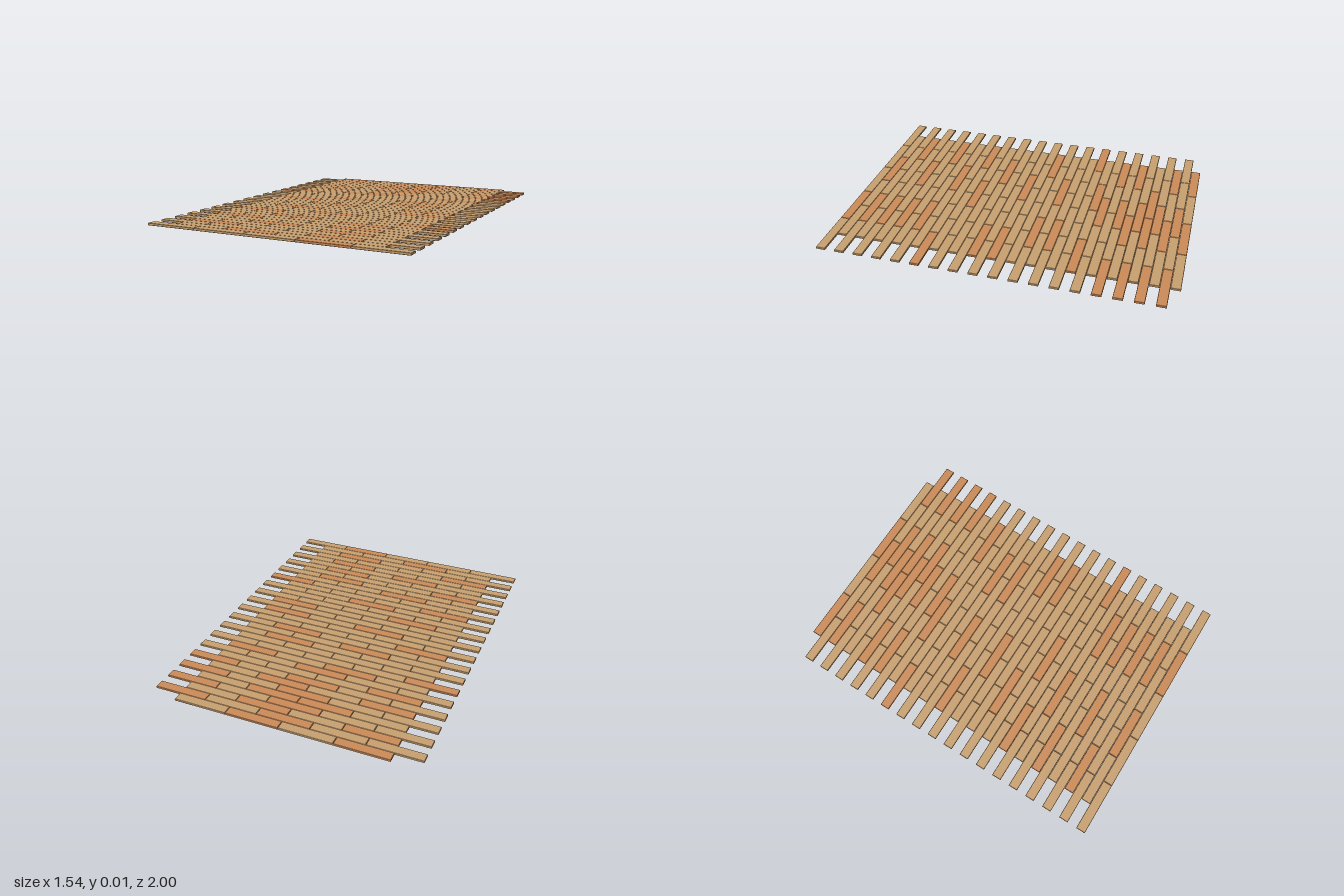
import * as THREE from 'three';

const ROWS = 36;
const PITCH_X = 0.3085; // plank spacing along a row
const PITCH_Z = 2 / ROWS; // spacing between rows
const HEIGHT = 0.013;
const BEVEL = 0.0015;

// Which planks of each row, from back to front, have the warm tone
const WARM = [
  '02', '24', '02', '24', '12', '24', '02', '24', '0', '2', '13', '0',
  '', '3', '1', '3', '0', '', '13', '', '3', '1', '', '2',
  '0', '4', '1', '3', '0', '3', '1', '3', '0', '3', '1', '3',
];

// One plank lying flat, with finely chamfered edges
function plankGeometry() {
  const x = PITCH_X / 2 - 0.001 - BEVEL;
  const z = PITCH_Z / 2 - 0.0006 - BEVEL;
  const shape = new THREE.Shape();
  shape.moveTo(-x, -z);
  shape.lineTo(x, -z);
  shape.lineTo(x, z);
  shape.lineTo(-x, z);
  shape.closePath();
  const geometry = new THREE.ExtrudeGeometry(shape, {
    depth: HEIGHT - 2 * BEVEL,
    bevelThickness: BEVEL,
    bevelSize: BEVEL,
    bevelSegments: 1,
  });
  geometry.rotateX(-Math.PI / 2);
  geometry.translate(0, BEVEL, 0);
  return geometry;
}

export function createModel() {
  const floor = new THREE.Group();
  floor.name = 'plankFloor';

  const tan = new THREE.MeshStandardMaterial({ color: 0xc8a070 });
  tan.name = 'tanWood';
  const warm = new THREE.MeshStandardMaterial({ color: 0xcb8b58 });
  warm.name = 'warmWood';
  const geometry = plankGeometry();

  // Rows alternate between four and five planks, giving a staggered bond
  WARM.forEach((warmPlanks, row) => {
    const group = new THREE.Group();
    group.name = `plankRow${row + 1}`;
    group.position.z = -1 + (row + 0.5) * PITCH_Z;
    const count = row % 2 ? 5 : 4;
    for (let i = 0; i < count; i++) {
      const plank = new THREE.Mesh(geometry, warmPlanks.includes(String(i)) ? warm : tan);
      plank.name = 'plank';
      plank.position.x = (i - (count - 1) / 2) * PITCH_X;
      group.add(plank);
    }
    floor.add(group);
  });
  return floor;
}
